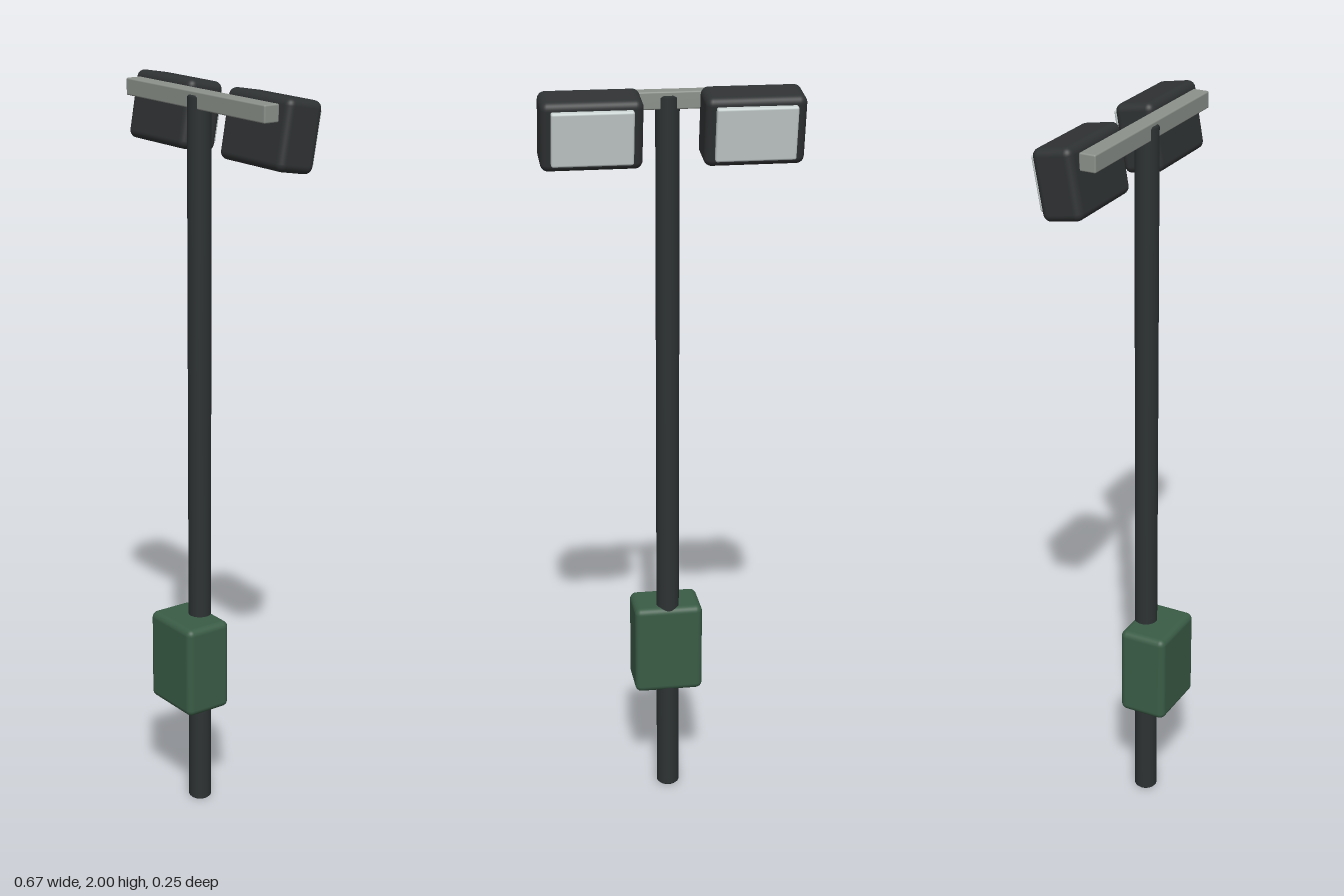
import * as THREE from 'three';
import { RoundedBoxGeometry } from 'three/addons/geometries/RoundedBoxGeometry.js';

const paint = (color) => new THREE.MeshStandardMaterial({ color });

export function createModel() {
  const model = new THREE.Group();
  const dark = paint(0x2d3233);
  const housing = paint(0x2f3233);
  const green = paint(0x3a5c46);
  const metal = paint(0x8c918b);
  const glass = paint(0xc8d0d0);

  const block = (parent, name, size, radius, position, material) => {
    const mesh = new THREE.Mesh(new RoundedBoxGeometry(...size, 4, radius), material);
    mesh.name = name;
    mesh.position.set(...position);
    parent.add(mesh);
    return mesh;
  };

  // Upright pole with slightly softened ends
  const r = 0.031, top = 1.975, bevel = 0.005;
  const profile = [[0, 0], [r - bevel, 0], [r, bevel], [r, top - bevel], [r - bevel, top], [0, top]]
    .map(([x, y]) => new THREE.Vector2(x, y));
  const pole = new THREE.Mesh(new THREE.LatheGeometry(profile, 32), dark);
  pole.name = 'pole';
  pole.position.z = 0.023;
  model.add(pole);

  // Control box around the lower pole, and the crossbar at the top
  block(model, 'controlBox', [0.188, 0.255, 0.135], 0.018, [0, 0.432, 0.057], green);
  block(model, 'crossbar', [0.6, 0.045, 0.045], 0.004, [0, 1.963, 0.0225], metal);

  // Pair of floodlights facing backward, tilted down
  for (const [side, name] of [[1, 'leftFloodlight'], [-1, 'rightFloodlight']]) {
    const lamp = new THREE.Group();
    lamp.name = name;
    lamp.position.set(side * 0.205, 1.905, -0.046);
    lamp.rotation.x = -0.174;
    block(lamp, 'lampHousing', [0.256, 0.18, 0.11], 0.02, [0, 0, 0], housing);
    block(lamp, 'lampLens', [0.206, 0.14, 0.02], 0.006, [0, 0, -0.06], glass);
    model.add(lamp);
  }

  return model;
}
